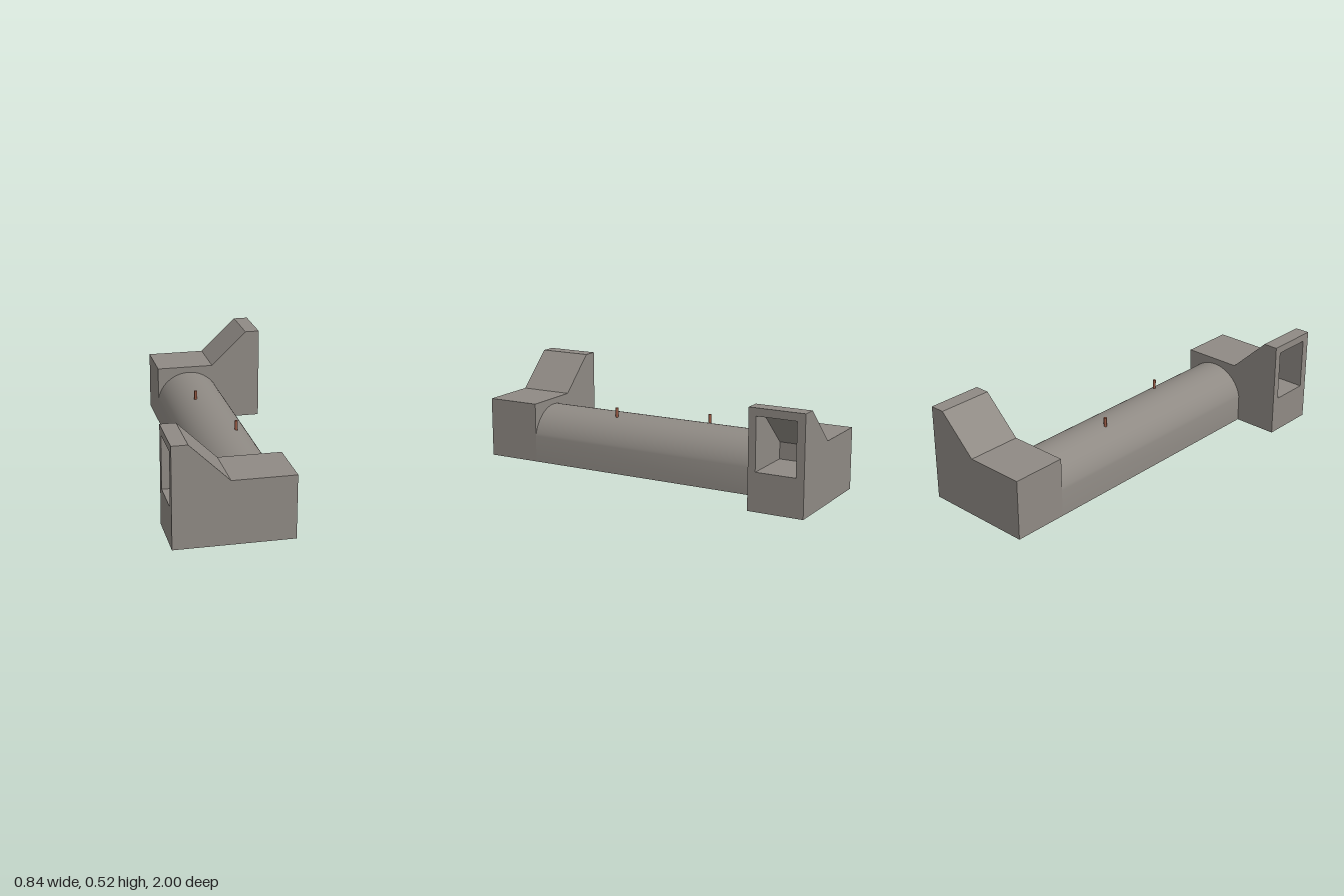
import * as THREE from 'three';
import { mergeGeometries, toCreasedNormals } from 'three/addons/utils/BufferGeometryUtils.js';

// Sweep an xy polyline along z; counter-clockwise lines face outward
function strip(points, z0, z1) {
  const pos = [];
  for (let i = 0; i + 1 < points.length; i++) {
    const [ax, ay] = points[i], [bx, by] = points[i + 1];
    pos.push(ax, ay, z0, bx, by, z0, bx, by, z1, ax, ay, z0, bx, by, z1, ax, ay, z1);
  }
  const geo = new THREE.BufferGeometry();
  geo.setAttribute('position', new THREE.Float32BufferAttribute(pos, 3));
  return geo;
}

const shapeOf = (points) => new THREE.Shape(points.map(([x, y]) => new THREE.Vector2(x, y)));

// Flat face at depth z, facing +z, or -z when flipped
function cap(shape, z, flip = false) {
  const geo = new THREE.ShapeGeometry(shape).translate(0, 0, z);
  if (flip) geo.index.array.reverse();
  return geo;
}

// Join pieces, keeping hard edges sharp and curves smooth
function join(pieces) {
  const plain = pieces.map((p) => {
    const g = p.index ? p.toNonIndexed() : p;
    g.deleteAttribute('uv');
    g.deleteAttribute('normal');
    return g;
  });
  const geo = mergeGeometries(plain);
  geo.computeVertexNormals();
  return toCreasedNormals(geo, 0.3);
}

export function createModel() {
  const concrete = new THREE.MeshStandardMaterial({ color: 0x8f8a84 });
  concrete.name = 'concrete';
  const rust = new THREE.MeshStandardMaterial({ color: 0x9a5a44 });
  rust.name = 'rust';
  const model = new THREE.Group();
  model.name = 'shelter';

  const add = (name, geo, mat) => {
    const mesh = new THREE.Mesh(geo, mat);
    mesh.name = name;
    model.add(mesh);
    return mesh;
  };

  // Vaulted hall: straight walls below a round roof
  const half = 0.18, spring = 0.145, crown = 0.292, inner = 0.705;
  const rise = crown - spring;
  const radius = (half * half + rise * rise) / (2 * rise);
  const centreY = crown - radius;
  const start = Math.atan2(spring - centreY, half);
  const hall = [[-half, 0], [half, 0]];
  const steps = 32;
  for (let i = 0; i <= steps; i++) {
    const a = start + (Math.PI - 2 * start) * i / steps;
    hall.push([radius * Math.cos(a), centreY + radius * Math.sin(a)]);
  }
  hall.push([-half, 0]);
  add('vaultedHall', join([strip(hall, -inner, inner)]), concrete);

  // Entrance block: sloped roof over a recessed doorway in its outer end
  const outline = [[0.42, 0.517], [0.34, 0.517], [0.14, 0.325], [-half, 0.325], [-half, 0], [0.42, 0]];
  const recess = [[0.42, 0.2], [0.14, 0.2], [0.14, 0.288], [0.34, 0.476], [0.42, 0.476]];
  const endFace = shapeOf([[inner, 0], [1, 0], [1, 0.517], [inner, 0.517]]);
  endFace.holes.push(shapeOf([[0.745, 0.2], [0.745, 0.476], [0.957, 0.476], [0.957, 0.2]]));
  const block = join([
    strip(outline, -1, -inner),
    cap(shapeOf(outline), -inner),
    cap(shapeOf(outline), -1, true),
    cap(endFace, 0).rotateY(Math.PI / 2).translate(0.42, 0, 0),
    strip(recess, -0.957, -0.745),
    cap(shapeOf(recess), -0.957),
    cap(shapeOf(recess), -0.745, true),
  ]);
  add('backEntrance', block, concrete);
  add('frontEntrance', block, concrete).rotation.y = Math.PI;

  // Small vent pipes on the roof
  for (const [name, x, z] of [['frontVent', 0.06, 0.252], ['backVent', -0.05, -0.255]]) {
    add(name, new THREE.CylinderGeometry(0.008, 0.008, 0.053, 8), rust).position.set(x, 0.3065, z);
  }
  return model;
}
